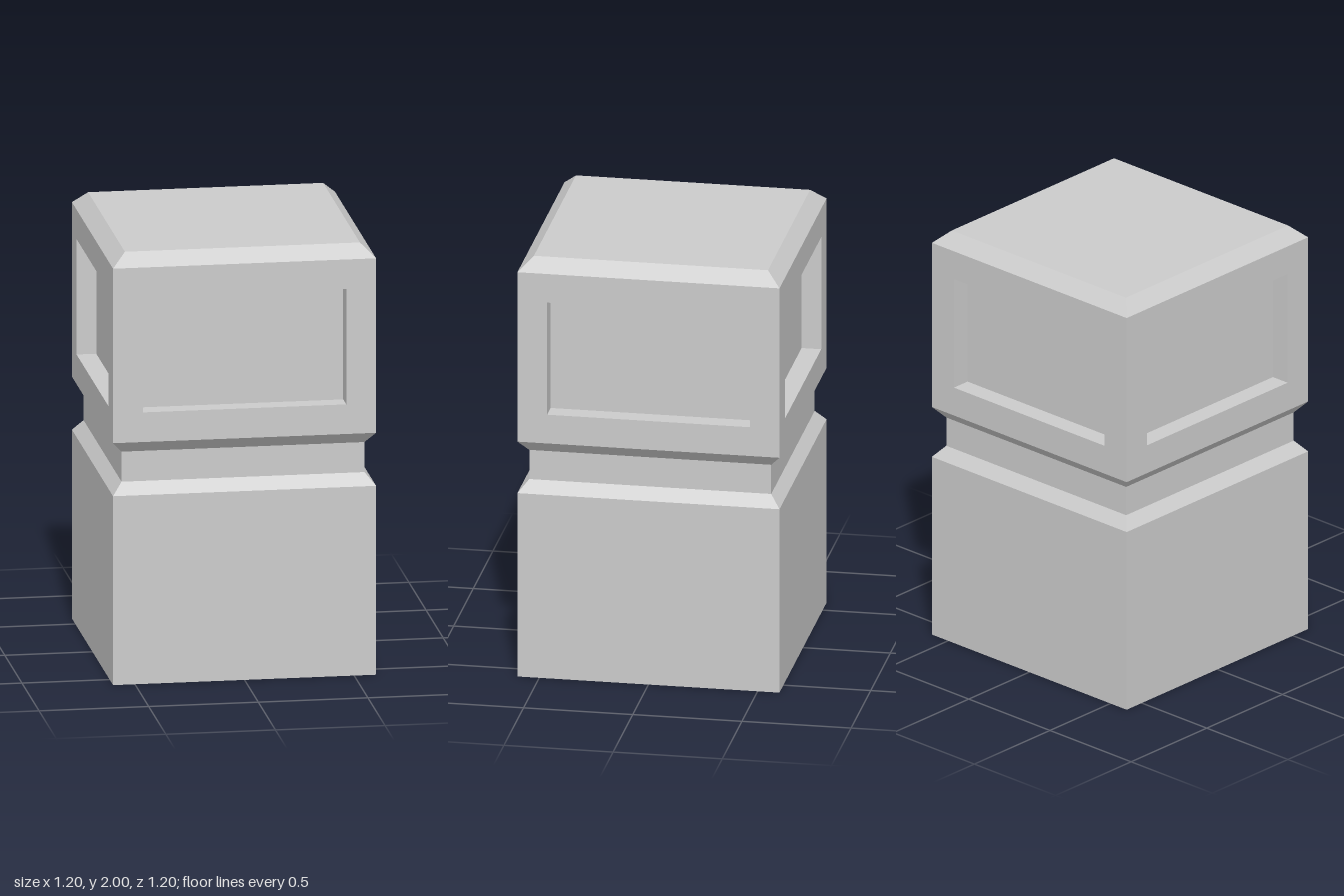
import * as THREE from 'three';

const H = 0.6; // half width of the post
const material = new THREE.MeshStandardMaterial({ color: 0xcccccc, flatShading: true, side: THREE.DoubleSide });

function add(parent, name, geometry) {
  const mesh = new THREE.Mesh(geometry, material);
  mesh.name = name;
  parent.add(mesh);
  return mesh;
}

// Square tube through [half width, height] pairs, flat shaded
function squareTube(profile) {
  const points = profile.map(([r, y]) => new THREE.Vector2(r * Math.SQRT2, y));
  const geometry = new THREE.LatheGeometry(points, 4, Math.PI / 4).toNonIndexed();
  geometry.computeVertexNormals();
  return geometry;
}

function rectangle(PathType, w, y0, y1) {
  return new PathType([[-w, y0], [w, y0], [w, y1], [-w, y1]].map(([x, y]) => new THREE.Vector2(x, y)));
}

export function createModel() {
  const model = new THREE.Group();
  model.name = 'post';

  const headBottom = 1.127, headTop = 1.94, capHalf = 0.536;
  const panelHalf = 0.464, panelBottom = 1.265, panelTop = 1.803, depth = 0.09;

  // Hollow base, open underneath, with a bevelled neck groove
  add(model, 'baseAndNeck', squareTube([
    [H, 0], [H, 0.88], [0.554, 0.934], [0.554, 1.074], [H, headBottom],
  ]));

  // Bevelled cap
  add(model, 'capBevel', squareTube([[H, headTop], [capHalf, 2]]));
  const capTop = add(model, 'capTop', new THREE.PlaneGeometry(capHalf * 2, capHalf * 2));
  capTop.rotation.x = -Math.PI / 2;
  capTop.position.y = 2;

  // Four head walls, each with a recessed panel
  const wall = rectangle(THREE.Shape, H, headBottom, headTop);
  wall.holes.push(rectangle(THREE.Path, panelHalf, panelBottom, panelTop));
  const wallGeometry = new THREE.ShapeGeometry(wall);
  const panelHeight = panelTop - panelBottom;
  const panelY = (panelTop + panelBottom) / 2;
  const rimGeometry = squareTube([[0.5, 0], [0.5, -depth]])
    .rotateX(Math.PI / 2)
    .scale(panelHalf * 2, panelHeight, 1)
    .translate(0, panelY, 0);
  const panelGeometry = new THREE.PlaneGeometry(panelHalf * 2, panelHeight).translate(0, panelY, -depth);

  ['front', 'left', 'back', 'right'].forEach((name, i) => {
    const side = new THREE.Group();
    side.name = name + 'HeadSide';
    side.rotation.y = i * Math.PI / 2;
    for (const [part, geometry] of [['Wall', wallGeometry], ['RecessRim', rimGeometry], ['Panel', panelGeometry]]) {
      add(side, name + part, geometry).position.z = H;
    }
    model.add(side);
  });

  return model;
}
